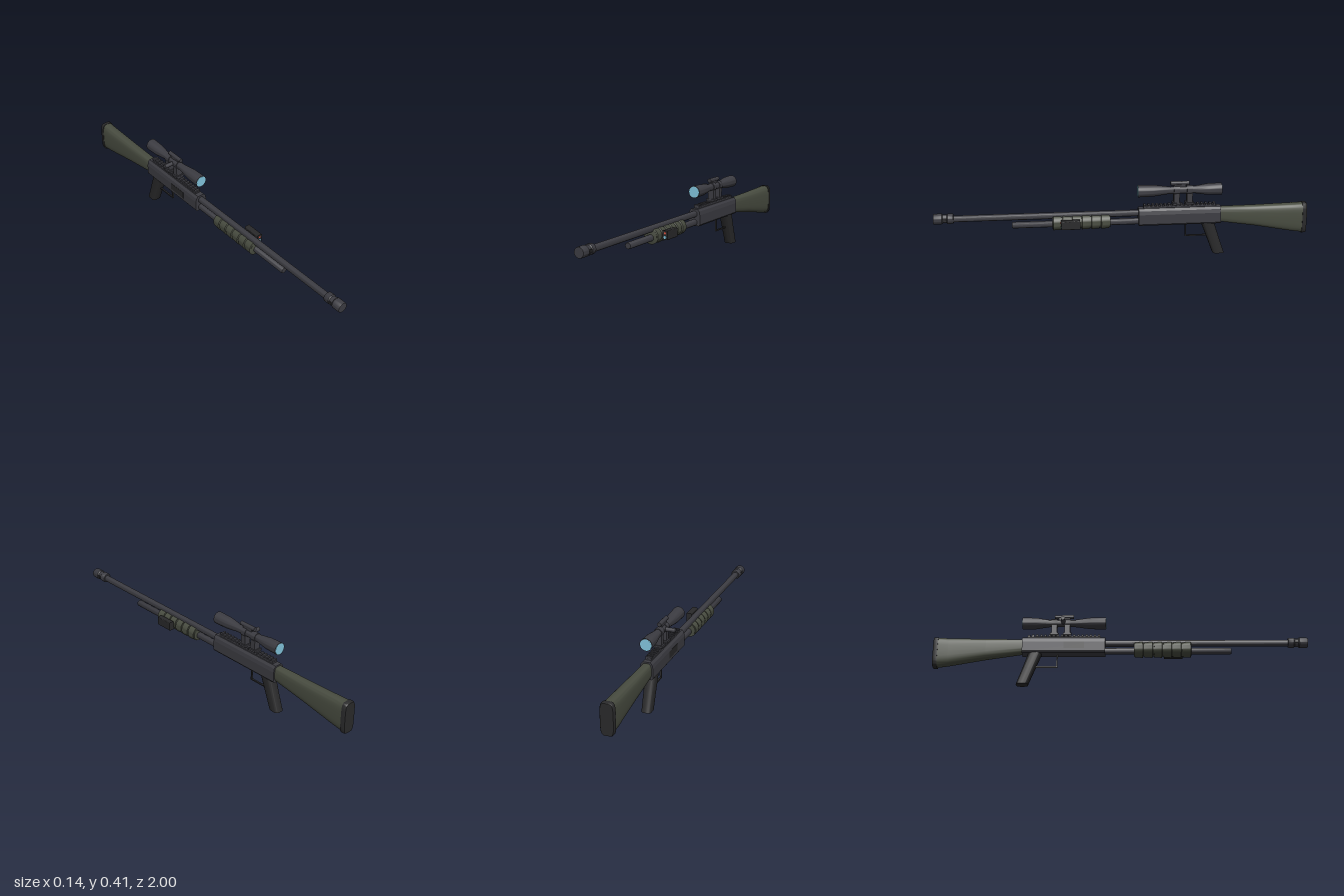
import * as THREE from 'three';
import { toCreasedNormals } from 'three/addons/utils/BufferGeometryUtils.js';

const paint = (color) => new THREE.MeshStandardMaterial({ color });

export function createModel() {
  const root = new THREE.Group();
  const body = new THREE.Group();
  body.name = 'rifle';
  body.position.x = -0.003;
  root.add(body);

  const metal = paint(0x3c3c42), black = paint(0x29292a), green = paint(0x484c40);
  const glass = paint(0x82c4dc), red = paint(0xe05a45);

  const add = (name, geometry, material, x = 0, y = 0, z = 0) => {
    const mesh = new THREE.Mesh(geometry, material);
    mesh.name = name;
    mesh.position.set(x, y, z);
    body.add(mesh);
    return mesh;
  };
  const box = (name, w, h, d, material, x, y, z) =>
    add(name, new THREE.BoxGeometry(w, h, d), material, x, y, z);

  // Turned part along z from [z, radius] pairs, z rising
  const turned = (name, profile, y, material, sides = 32) => {
    const pts = profile.map(([z, r]) => new THREE.Vector2(r, z));
    const g = new THREE.LatheGeometry(pts, sides).rotateX(Math.PI / 2);
    return add(name, toCreasedNormals(g, 0.6), material, 0, y, 0);
  };

  // Rounded-section solid along z from [z, centreY, halfWidth, halfHeight] stations
  const loft = (stations, power, sides = 32) => {
    const pos = [], index = [], soft = (v) => Math.sign(v) * Math.abs(v) ** power;
    stations.forEach(([z, c, w, h]) => {
      for (let j = 0; j < sides; j++) {
        const a = (j / sides) * Math.PI * 2;
        pos.push(w * soft(Math.cos(a)), c + h * soft(Math.sin(a)), z);
      }
    });
    const n = stations.length, first = n * sides, last = first + 1;
    pos.push(0, stations[0][1], stations[0][0], 0, stations[n - 1][1], stations[n - 1][0]);
    for (let j = 0; j < sides; j++) {
      const k = (j + 1) % sides;
      for (let i = 0; i < n - 1; i++) {
        const a = i * sides + j, b = i * sides + k;
        index.push(a, b, b + sides, a, b + sides, a + sides);
      }
      index.push(first, k, j, last, (n - 1) * sides + j, (n - 1) * sides + k);
    }
    const g = new THREE.BufferGeometry();
    g.setAttribute('position', new THREE.Float32BufferAttribute(pos, 3));
    g.setIndex(index);
    return toCreasedNormals(g, 0.7);
  };

  // Barrel, muzzle brake and magazine tube
  turned('barrel', [[-0.1, 0], [-0.1, 0.0175], [0.92, 0.0175], [0.92, 0]], 0.239, metal);
  turned('muzzleBrake', [[0.895, 0], [0.895, 0.024], [0.9, 0.027], [0.925, 0.027], [0.93, 0.023],
    [0.95, 0.023], [0.955, 0.028], [0.995, 0.028], [1, 0.026], [1, 0]], 0.241, metal);
  for (const s of [-1, 1]) box('muzzlePort', 0.008, 0.014, 0.018, black, s * 0.022, 0.241, 0.94);
  turned('magazineTube', [[-0.1, 0], [-0.1, 0.0175], [0.585, 0.0175], [0.59, 0.015], [0.59, 0]], 0.193, metal);

  // Ribbed fore grip
  const ribs = [[0.07, 0]];
  for (let i = 0; i < 6; i++) {
    const z = 0.07 + i * 0.051;
    ribs.push([z, 0.036], [z + 0.006, 0.0365], [z + 0.006, 0.04], [z + 0.047, 0.0425], [z + 0.05, 0.036]);
  }
  ribs.push([0.376, 0.036], [0.376, 0]);
  turned('foreGrip', ribs, 0.201, green);

  // Side lamp on the fore grip
  const lampShape = new THREE.Shape();
  const lw = 0.011, lh = 0.02;
  lampShape.absarc(lw, lh, 0.004, 0, Math.PI / 2);
  lampShape.absarc(-lw, lh, 0.004, Math.PI / 2, Math.PI);
  lampShape.absarc(-lw, -lh, 0.004, Math.PI, Math.PI * 1.5);
  lampShape.absarc(lw, -lh, 0.004, Math.PI * 1.5, Math.PI * 2);
  add('lampHousing', new THREE.ExtrudeGeometry(lampShape, { depth: 0.1, bevelEnabled: false, curveSegments: 4 }),
    black, 0.059, 0.204, 0.233);
  box('lampBracket', 0.02, 0.025, 0.06, black, 0.04, 0.204, 0.283);
  for (const [name, y, r, m] of [['redLamp', 0.215, 0.006, red], ['blueLamp', 0.193, 0.0075, glass]]) {
    add(name, new THREE.CylinderGeometry(r, r, 0.006, 20).rotateX(Math.PI / 2), m, 0.059, y, 0.332);
  }

  // Receiver with sloped upper shoulders
  const half = [[0.028, 0.174], [0.034, 0.182], [0.034, 0.235], [0.03, 0.255], [0.02, 0.267]];
  const outline = [...half, ...half.slice().reverse().map(([x, y]) => [-x, y])];
  const receiver = new THREE.Shape(outline.map(([x, y]) => new THREE.Vector2(x, y)));
  add('receiver', new THREE.ExtrudeGeometry(receiver, { depth: 0.444, bevelEnabled: false }), metal, 0, 0, -0.527);
  box('ejectionPort', 0.004, 0.038, 0.11, black, -0.0335, 0.216, -0.25);

  // Toothed top rail
  box('rail', 0.03, 0.012, 0.39, metal, 0, 0.27, -0.305);
  for (let i = 0; i < 18; i++) box('railTooth', 0.034, 0.009, 0.012, metal, 0, 0.28, -0.117 - i * 0.0221);

  // Scope, lenses and adjusters
  const scopeY = 0.36;
  turned('scopeTube', [[-0.53, 0], [-0.53, 0.033], [-0.457, 0.031], [-0.385, 0.02], [-0.245, 0.02],
    [-0.165, 0.031], [-0.08, 0.033], [-0.08, 0]], scopeY, metal);
  for (const [name, z] of [['frontLens', -0.08], ['rearLens', -0.53]]) {
    add(name, new THREE.CylinderGeometry(0.03, 0.03, 0.003, 32).rotateX(Math.PI / 2), glass, 0, scopeY, z);
  }
  turned('topAdjuster', [[-0.356, 0], [-0.356, 0.011], [-0.255, 0.011], [-0.255, 0]], 0.398, metal, 20);
  box('adjusterBase', 0.016, 0.02, 0.06, metal, 0, 0.383, -0.306);
  add('sideKnob', new THREE.CylinderGeometry(0.0115, 0.0115, 0.06, 20).rotateZ(Math.PI / 2), metal,
    -0.04, 0.359, -0.31);

  // Scope mounts
  for (const z of [-0.288, -0.358]) {
    turned('scopeRing', [[z - 0.016, 0.018], [z - 0.016, 0.0235], [z + 0.016, 0.0235], [z + 0.016, 0.018]], scopeY, metal);
    box('mountPost', 0.036, 0.055, 0.03, metal, 0, 0.317, z);
    box('mountClamp', 0.05, 0.011, 0.044, metal, 0, 0.288, z);
  }

  // Stock and butt pad
  add('stock', loft([[-0.978, 0.186, 0.034, 0.083], [-0.92, 0.189, 0.0335, 0.078],
    [-0.72, 0.205, 0.03, 0.057], [-0.525, 0.219, 0.026, 0.041]], 0.6), green);
  add('buttPad', loft([[-1, 0.185, 0.033, 0.082], [-0.995, 0.185, 0.036, 0.085],
    [-0.976, 0.185, 0.036, 0.085]], 0.45), black);

  // Raked pistol grip, lofted upwards
  const grip = loft([[0, 0.5215, 0.027, 0.0315], [0.09, 0.489, 0.028, 0.033], [0.185, 0.455, 0.03, 0.036]], 0.6);
  add('pistolGrip', grip.rotateX(-Math.PI / 2), black);

  // Trigger guard
  box('guardFront', 0.009, 0.08, 0.007, black, 0, 0.138, -0.34);
  box('guardBottom', 0.009, 0.007, 0.13, black, 0, 0.1015, -0.4015);

  return root;
}
